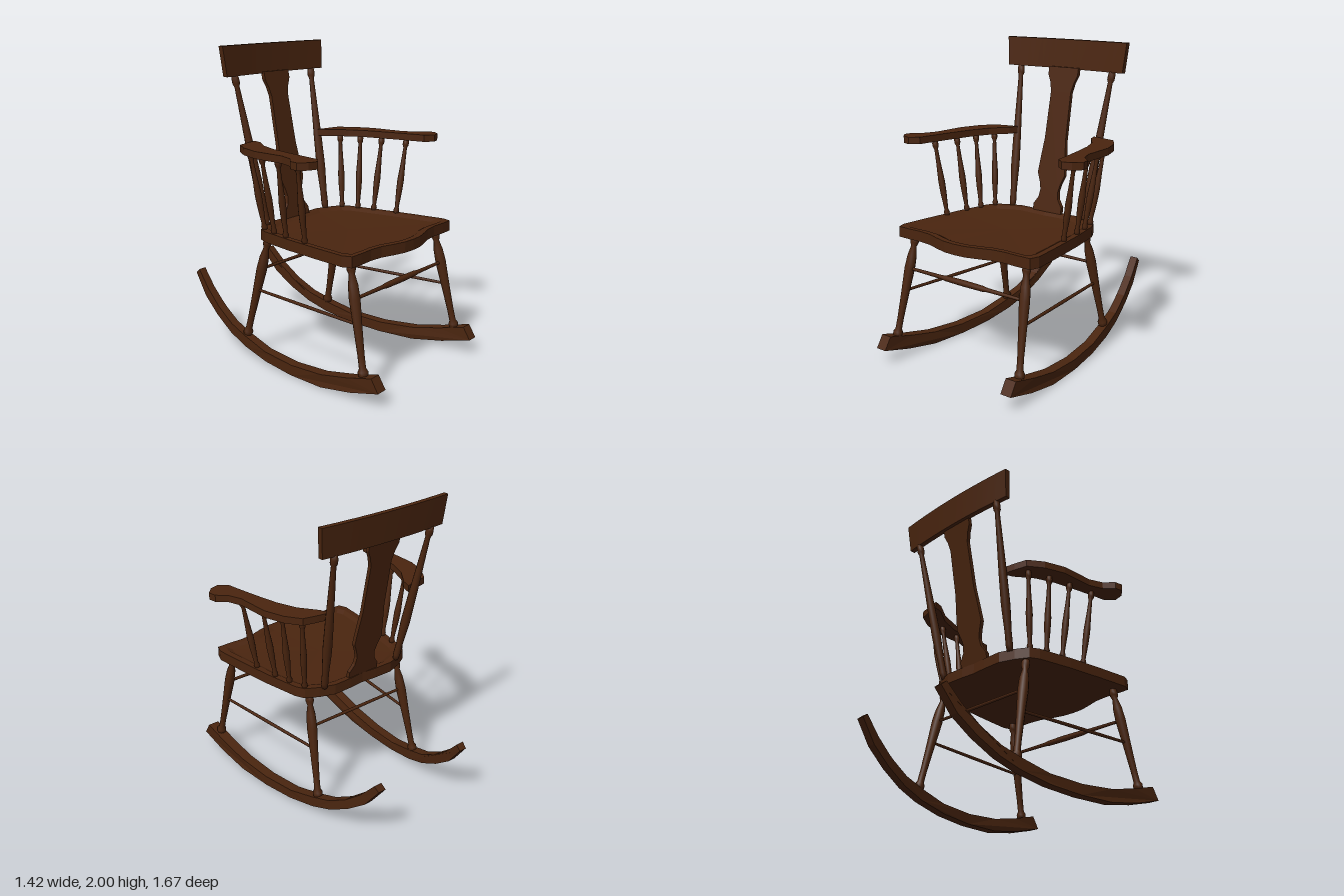
import * as THREE from 'three';

const wood = new THREE.MeshStandardMaterial({ color: 0x4a250f });
wood.name = 'dark brown wood';

const v = (x, y, z) => new THREE.Vector3(x, y, z);

// Move every vertex of a geometry by a rule
function warp(geometry, rule) {
  const p = geometry.attributes.position;
  const q = v(0, 0, 0);
  for (let i = 0; i < p.count; i++) {
    q.fromBufferAttribute(p, i);
    rule(q);
    p.setXYZ(i, q.x, q.y, q.z);
  }
  geometry.computeVertexNormals();
  return geometry;
}

function plank(points, depth) {
  const shape = new THREE.Shape(points.map(([x, y]) => new THREE.Vector2(x, y)));
  return new THREE.ExtrudeGeometry(shape, { depth, bevelEnabled: false });
}

// Turned profiles: [fraction of length, radius]
const LEG = [[0, 0.02], [0.03, 0.03], [0.06, 0.032], [0.09, 0.021], [0.2, 0.021], [0.45, 0.027],
  [0.68, 0.034], [0.8, 0.03], [0.89, 0.018], [0.93, 0.027], [0.96, 0.027], [1, 0.02]];
const POST = [[0, 0.019], [0.04, 0.023], [0.12, 0.022], [0.3, 0.03], [0.5, 0.027], [0.8, 0.019],
  [0.92, 0.016], [0.94, 0.024], [0.97, 0.024], [1, 0.018]];
const SPINDLE = [[0, 0.014], [0.05, 0.02], [0.09, 0.013], [0.3, 0.02], [0.45, 0.022], [0.7, 0.015],
  [0.87, 0.012], [0.91, 0.02], [0.95, 0.02], [1, 0.013]];
const RAIL = [[0, 0.01], [0.12, 0.011], [0.3, 0.013], [0.34, 0.018], [0.5, 0.02], [0.66, 0.018],
  [0.7, 0.013], [0.88, 0.011], [1, 0.01]];
const ROD = [[0, 0.009], [0.5, 0.011], [1, 0.009]];

// Rocker side outline: [z, y]
const ROCKER = [[0.84, 0.10], [0.79, 0.18], [0.6, 0.13], [0.4, 0.088], [0.15, 0.07], [-0.1, 0.085],
  [-0.3, 0.135], [-0.44, 0.18], [-0.58, 0.26], [-0.7, 0.36], [-0.8, 0.47], [-0.835, 0.44],
  [-0.73, 0.3], [-0.6, 0.2], [-0.45, 0.115], [-0.3, 0.062], [-0.09, 0.02], [0.14, 0.002],
  [0.4, 0.005], [0.63, 0.045]];
const rockerX = (z) => 0.513 - 0.172 * Math.pow(Math.max(0, 0.84 - z) / 1.68, 1.67);

// Arm outline on the left: [x, z]
const ARM = [[0.315, -0.31], [0.4, -0.295], [0.485, -0.275], [0.55, -0.18], [0.595, -0.045],
  [0.605, 0.18], [0.64, 0.27], [0.7, 0.325], [0.71, 0.38], [0.665, 0.43], [0.605, 0.447],
  [0.55, 0.4], [0.537, 0.32], [0.505, 0.155], [0.47, 0], [0.42, -0.13], [0.335, -0.245]];

// Left half of the seat outline, front to back: [x, z]
const SEAT = [[0, 0.695], [0.08, 0.69], [0.17, 0.665], [0.25, 0.638], [0.34, 0.628], [0.44, 0.632],
  [0.525, 0.63], [0.545, 0.57], [0.52, 0.36], [0.485, 0.11], [0.44, -0.12], [0.41, -0.18],
  [0.33, -0.225], [0.23, -0.26], [0.1, -0.258], [0, -0.25]];

// Left half of the splat outline: [x, y]
const SPLAT = [[0.115, 0.86], [0.115, 0.91], [0.08, 0.96], [0.072, 1.01], [0.085, 1.06],
  [0.11, 1.12], [0.1, 1.22], [0.085, 1.35], [0.08, 1.66], [0.095, 1.72], [0.118, 1.77], [0.118, 1.82]];

// Seat built from rings: underside, edge, rim and shallow hollow
function seatGeometry() {
  const outline = [...SEAT, ...SEAT.slice(1, -1).reverse().map(([x, z]) => [-x, z])];
  const n = outline.length;
  const cz = 0.2;
  const rings = [[0, 0.8], [1, 0.8], [1, 0.868], [0.92, 0.868], [0.86, 0.852], [0, 0.845]];
  const positions = [];
  const index = [];
  for (const [s, y] of rings) {
    for (const [x, z] of outline) positions.push(x * s, y, cz + (z - cz) * s);
  }
  for (let r = 0; r < rings.length - 1; r++) {
    for (let i = 0; i < n; i++) {
      const j = (i + 1) % n;
      const a = r * n + i, b = r * n + j;
      if (r > 0) index.push(a, b, b + n);
      if (r === 0) index.push(a, b + n, a + n);
      else if (r < rings.length - 2) index.push(a, b + n, a + n);
    }
  }
  const g = new THREE.BufferGeometry();
  g.setAttribute('position', new THREE.Float32BufferAttribute(positions, 3));
  g.setIndex(index);
  const flat = g.toNonIndexed();
  flat.computeVertexNormals();
  return flat;
}

export function createModel() {
  const chair = new THREE.Group();
  chair.name = 'rockingChair';

  const add = (name, geometry) => {
    const mesh = new THREE.Mesh(geometry, wood);
    mesh.name = name;
    chair.add(mesh);
    return mesh;
  };

  // Lathe-turned rod from a to b
  const turned = (name, a, b, profile) => {
    const axis = b.clone().sub(a);
    const length = axis.length();
    const pts = [[0, 0], ...profile, [1, 0]].map(([t, r]) => new THREE.Vector2(r, t * length));
    const mesh = add(name, new THREE.LatheGeometry(pts, 10));
    mesh.position.copy(a);
    mesh.quaternion.setFromUnitVectors(v(0, 1, 0), axis.normalize());
  };

  add('seat', seatGeometry());

  // Back splat, leaning with the posts
  const splat = plank([...SPLAT, ...SPLAT.map(([x, y]) => [-x, y]).reverse()], 0.026);
  add('backSplat', warp(splat, (p) => { p.z += -0.25 - 0.19 * (p.y - 0.865); }));

  // Crest rail, wider at the top and bowed backwards
  const crest = new THREE.BoxGeometry(2, 0.19, 0.034, 10, 1, 1);
  add('crestRail', warp(crest, (p) => {
    const bow = 0.022 * (p.x * p.x - 0.5);
    p.x *= 0.468 + p.y * 0.085;
    p.z += -0.434 - 0.1 * p.y + bow;
    p.y += 1.905;
  }));

  for (const s of [1, -1]) {
    const side = s > 0 ? 'left' : 'right';

    // Rocker, swept inwards to the back
    const rocker = plank(ROCKER, 1).rotateY(-Math.PI / 2);
    add(side + 'Rocker', warp(rocker, (p) => {
      const width = 0.065 + 0.012 * p.z;
      p.x = s * rockerX(p.z) + (p.x + 0.5) * width;
    }));

    // Legs and side stretcher
    turned(side + 'FrontLeg', v(s * 0.505, 0.14, 0.705), v(s * 0.45, 0.81, 0.56), LEG);
    turned(side + 'BackLeg', v(s * 0.418, 0.12, -0.312), v(s * 0.362, 0.81, -0.16), LEG);
    turned(side + 'SideStretcher', v(s * 0.48, 0.45, 0.635), v(s * 0.391, 0.45, -0.235), ROD);

    // Back post
    turned(side + 'BackPost', v(s * 0.297, 0.86, -0.232), v(s * 0.37, 1.82, -0.425), POST);

    // Armrest
    const arm = plank(ARM.map(([x, z]) => [s * x, -z]), 0.045).rotateX(-Math.PI / 2);
    add(side + 'Armrest', arm.translate(0, 1.36, 0));

    // Arm spindles: [bottom x, bottom z, top x, top z]
    const spindles = [[0.475, 0.238, 0.56, 0.255], [0.452, 0.068, 0.53, 0.075],
      [0.428, -0.048, 0.5, -0.085], [0.395, -0.16, 0.452, -0.225]];
    for (const [bx, bz, tx, tz] of spindles) {
      turned(side + 'ArmSpindle', v(s * bx, 0.86, bz), v(s * tx, 1.37, tz), SPINDLE);
    }
  }

  // Cross stretchers
  turned('frontStretcher', v(-0.465, 0.595, 0.607), v(0.465, 0.595, 0.607), RAIL);
  turned('backStretcher', v(-0.379, 0.595, -0.207), v(0.379, 0.595, -0.207), ROD);

  return chair;
}
